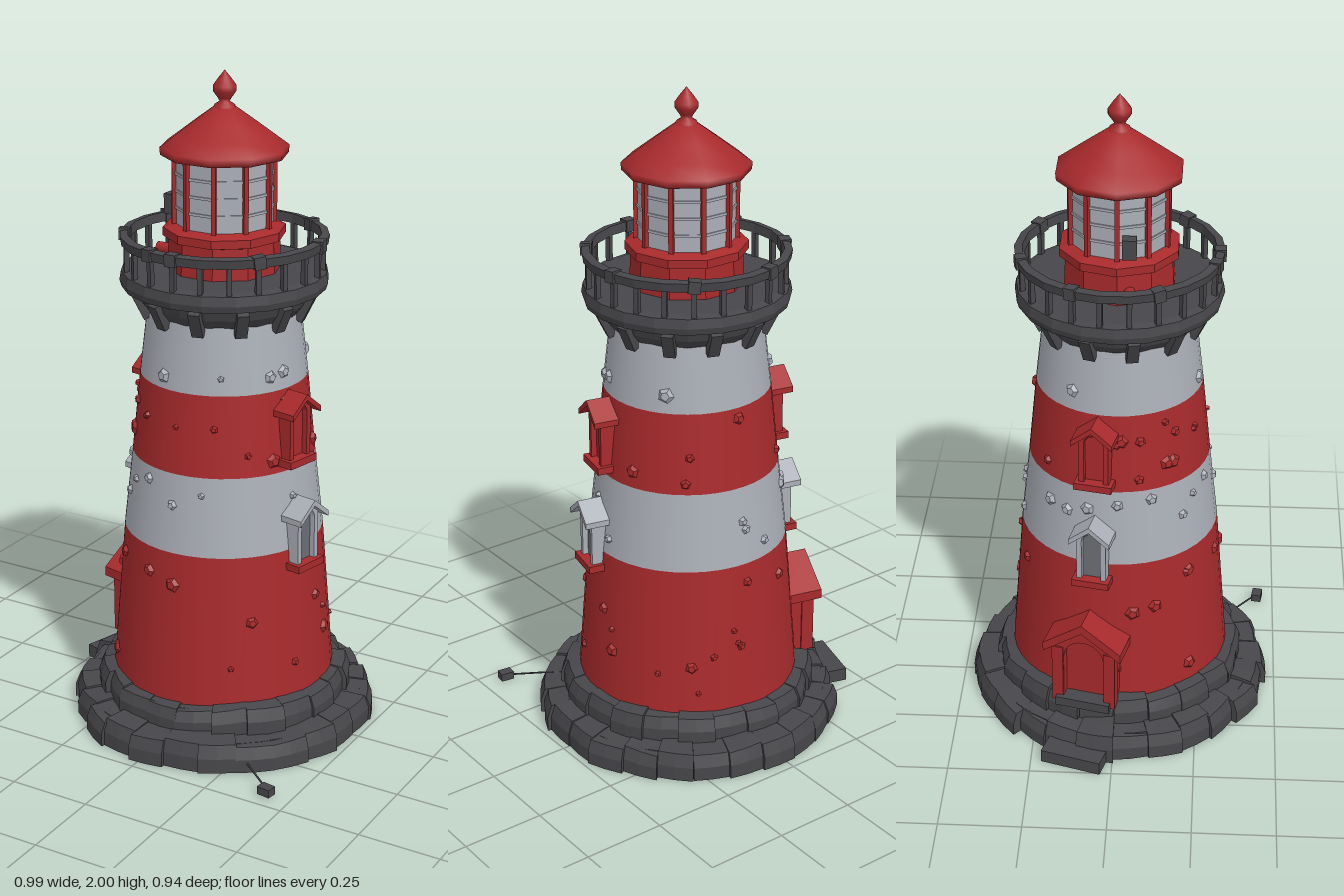
import * as THREE from 'three';

const mat = (name, color, extra = {}) => Object.assign(new THREE.MeshStandardMaterial({ color }), { name }, extra);

export function createModel() {
  const red = mat('red paint', 0xa82a2c);
  const white = mat('pale paint', 0xabafb7);
  const dark = mat('dark stone', 0x47474b);
  const pane = mat('window grey', 0x6c6e73);

  const model = new THREE.Group();
  const tower = new THREE.Group();
  tower.name = 'lighthouse';
  tower.position.x = 0.025;
  model.add(tower);

  let seed = 7;
  const rnd = (a, b) => {
    seed = (seed * 16807) % 2147483647;
    return a + (b - a) * (seed / 2147483647);
  };
  const flat = (geo) => {
    const g = geo.index ? geo.toNonIndexed() : geo;
    g.computeVertexNormals();
    return g;
  };
  const add = (parent, name, geo, material, x = 0, y = 0, z = 0) => {
    const m = new THREE.Mesh(geo, material);
    m.name = name;
    m.position.set(x, y, z);
    parent.add(m);
    return m;
  };
  const box = (parent, name, w, h, d, material, x, y, z) =>
    add(parent, name, new THREE.BoxGeometry(w, h, d), material, x, y, z);
  const lathe = (pts, n) => new THREE.LatheGeometry(pts.map((p) => new THREE.Vector2(...p)), n);
  // group whose local +z points outward at angle a
  const facing = (name, a) => {
    const g = new THREE.Group();
    g.name = name;
    g.rotation.y = a;
    tower.add(g);
    return g;
  };

  // Base: core discs and rings of uneven, bent stones
  add(tower, 'baseCore', new THREE.CylinderGeometry(0.43, 0.44, 0.08, 40), dark, 0, 0.04, 0);
  add(tower, 'plinthCore', new THREE.CylinderGeometry(0.36, 0.37, 0.15, 40), dark, 0, 0.075, 0);
  const stoneRing = (name, n, rIn, rOut, y0, y1) => {
    for (let i = 0; i < n; i++) {
      const g = new THREE.BoxGeometry(1, 1, 1, 2, 2, 2);
      const p = g.attributes.position;
      const span = (Math.PI * 2 / n) * rnd(0.97, 1.06);
      const bulge = rnd(-0.012, 0.01), lift = rnd(-0.008, 0.004);
      const skew = rnd(-0.018, 0.018), tilt = rnd(-0.008, 0.008);
      for (let k = 0; k < p.count; k++) {
        const x = p.getX(k), v = p.getY(k) + 0.5, w = p.getZ(k) + 0.5;
        const round = w > 0.9 && v > 0.9 ? 0.014 : 0;
        const a = x * span + (i * Math.PI * 2) / n;
        const r = rIn + (rOut - rIn + bulge + skew * x) * w - round;
        p.setXYZ(k, Math.sin(a) * r, y0 + (y1 - y0 + lift + tilt * x) * v - round * 0.4, Math.cos(a) * r);
      }
      add(tower, name, flat(g), dark);
    }
  };
  stoneRing('baseStone', 26, 0.33, 0.462, 0, 0.09);
  stoneRing('plinthStone', 22, 0.3, 0.384, 0.08, 0.162);

  // Tapering wall in painted bands
  const levels = [[0.15, 0.34], [0.62, 0.302], [0.86, 0.275], [1.105, 0.25], [1.32, 0.225]];
  const radiusAt = (y) => {
    let i = 0;
    while (i < 3 && y > levels[i + 1][0]) i++;
    const [[ya, ra], [yb, rb]] = [levels[i], levels[i + 1]];
    return ra + ((rb - ra) * (y - ya)) / (yb - ya);
  };
  const bandColour = (y) => (y < 0.62 || (y > 0.86 && y < 1.105) ? red : white);
  for (let i = 0; i < 4; i++) {
    const [[ya, ra], [yb, rb]] = [levels[i], levels[i + 1]];
    add(tower, 'wallBand', new THREE.CylinderGeometry(rb, ra, yb - ya, 40, 1, true), i % 2 ? white : red, 0, (ya + yb) / 2, 0);
  }
  // Rough plaster patches
  for (let i = 0; i < 80; i++) {
    const y = rnd(0.22, 1.2), h = rnd(0.015, 0.04), r = radiusAt(y);
    const near = [0.62, 0.86, 1.105].some((b) => Math.abs(b - y) < 0.03);
    if (near) continue;
    const g = facing('plasterPatch', rnd(0, Math.PI * 2));
    const m = add(g, 'patch', flat(new THREE.CylinderGeometry(h * 0.35, h * 0.75, 0.016, 5)), bandColour(y), 0, y, r + 0.002);
    m.rotation.set(Math.PI / 2 - 0.1, rnd(0, 3), 0);
  }

  // Arched panel and gabled hood helpers
  const archGeo = (w, h, d) => {
    const s = new THREE.Shape();
    s.moveTo(-w / 2, 0);
    s.lineTo(w / 2, 0);
    s.lineTo(w / 2, h - w / 2);
    s.absarc(0, h - w / 2, w / 2, 0, Math.PI, false);
    s.closePath();
    return new THREE.ExtrudeGeometry(s, { depth: d, bevelEnabled: false, curveSegments: 6 });
  };
  const frameGeo = (w, h, t, d) => {
    const s = new THREE.Shape();
    s.moveTo(-w / 2, 0);
    s.lineTo(w / 2, 0);
    s.lineTo(w / 2, h - w * 0.4);
    s.lineTo(0, h);
    s.lineTo(-w / 2, h - w * 0.4);
    s.closePath();
    const iw = w / 2 - t, top = h - w * 0.5 - t * 0.5;
    const hole = new THREE.Path();
    hole.moveTo(-iw, 0.008);
    hole.lineTo(-iw, top);
    hole.absarc(0, top, iw, Math.PI, 0, true);
    hole.lineTo(iw, 0.008);
    hole.closePath();
    s.holes.push(hole);
    return new THREE.ExtrudeGeometry(s, { depth: d, bevelEnabled: false, curveSegments: 6 });
  };
  const hoodGeo = (w, rise, t, d) => {
    const s = new THREE.Shape();
    s.moveTo(-w / 2, 0);
    s.lineTo(0, rise);
    s.lineTo(w / 2, 0);
    s.lineTo(w / 2, t);
    s.lineTo(0, rise + t);
    s.lineTo(-w / 2, t);
    s.closePath();
    return new THREE.ExtrudeGeometry(s, { depth: d, bevelEnabled: false });
  };

  // Windows, one pair on each side
  const sideA = Math.PI / 2 - 0.21, sideB = sideA + Math.PI;
  for (const a of [sideA, sideB]) {
    for (const [y, colour, glass] of [[0.89, red, red], [0.57, white, pane]]) {
      const g = facing('window', a);
      const r = radiusAt(y + 0.08);
      add(g, 'windowFrame', frameGeo(0.09, 0.195, 0.016, 0.075), colour, 0, y, r - 0.04);
      add(g, 'windowPane', archGeo(0.064, 0.155, 0.008), glass, 0, y + 0.005, r + 0.01);
      add(g, 'windowHood', hoodGeo(0.125, 0.05, 0.018, 0.1), colour, 0, y + 0.142, r - 0.04);
      box(g, 'windowSill', 0.115, 0.022, 0.08, red, 0, y, r + 0.01);
    }
  }

  // Door porch and step
  const porch = facing('doorPorch', sideB - 0.03);
  add(porch, 'doorFrame', frameGeo(0.19, 0.27, 0.032, 0.1), red, 0, 0.155, 0.285);
  add(porch, 'door', archGeo(0.135, 0.22, 0.04), red, 0, 0.155, 0.315);
  add(porch, 'porchRoof', hoodGeo(0.245, 0.085, 0.03, 0.13), red, 0, 0.34, 0.275);
  for (const s of [-1, 1]) box(porch, 'porchPost', 0.035, 0.2, 0.04, red, s * 0.082, 0.25, 0.37);
  box(porch, 'doorThreshold', 0.17, 0.03, 0.09, dark, 0, 0.155, 0.36);
  const step = box(porch, 'doorStep', 0.19, 0.042, 0.12, dark, 0, 0.021, 0.46);
  step.rotation.y = -0.05;

  // Gallery deck on a flared corbel with brackets
  add(tower, 'galleryCorbel', flat(lathe([[0.2, 1.295], [0.226, 1.3], [0.25, 1.33], [0.262, 1.362], [0.302, 1.37],
    [0.308, 1.39], [0.303, 1.418], [0.28, 1.424], [0, 1.42]], 20)), dark);
  for (let i = 0; i < 12; i++) {
    const g = facing('galleryBracket', (i * Math.PI) / 6 + 0.2);
    const m = box(g, 'bracket', 0.035, 0.085, 0.05, dark, 0, 1.325, 0.238);
    m.rotation.x = 0.45;
  }
  // Railing
  add(tower, 'handrail', flat(lathe([[0.28, 1.5], [0.303, 1.498], [0.307, 1.524], [0.283, 1.528], [0.28, 1.5]], 22)), dark);
  for (let i = 0; i < 22; i++) {
    const g = facing('railPost', (i * Math.PI * 2) / 22);
    box(g, 'post', 0.015, 0.09, 0.015, dark, 0, 1.46, 0.289);
    if (i % 3 === 0) box(g, 'postCap', 0.035, 0.036, 0.034, dark, 0, 1.513, 0.292).rotation.z = rnd(-0.15, 0.15);
  }

  // Lantern room
  const turn = (m) => { m.rotation.y = Math.PI / 2; return m; };
  turn(add(tower, 'lanternBase', flat(lathe([[0.168, 1.41], [0.163, 1.515], [0.18, 1.52], [0.18, 1.545], [0.15, 1.556], [0, 1.556]], 10)), red));
  turn(add(tower, 'lanternGlass', flat(new THREE.CylinderGeometry(0.143, 0.143, 0.23, 10, 1, true)), white, 0, 1.66, 0));
  for (const y of [1.605, 1.655, 1.705]) {
    turn(add(tower, 'glazingBar', flat(new THREE.CylinderGeometry(0.147, 0.147, 0.008, 10)), white, 0, y, 0));
  }
  for (let i = 0; i < 10; i++) {
    const g = facing('lanternMullion', Math.PI / 2 + (i * Math.PI) / 5);
    box(g, 'mullion', 0.014, 0.23, 0.016, red, 0, 1.66, 0.145);
  }
  box(tower, 'wallBox', 0.035, 0.06, 0.04, dark, -0.155, 1.6, 0.035);
  const knob = add(tower, 'lanternKnob', new THREE.CylinderGeometry(0.017, 0.017, 0.06, 8), red, -0.175, 1.46, 0.035);
  knob.rotation.z = Math.PI / 2;

  // Roof and finial
  turn(add(tower, 'roof', lathe([[0.13, 1.755], [0.186, 1.758], [0.188, 1.78], [0.145, 1.812], [0.09, 1.853], [0.035, 1.893], [0, 1.9]], 10), red));
  add(tower, 'finial', lathe([[0.034, 1.888], [0.03, 1.9], [0.015, 1.91], [0.02, 1.92], [0.034, 1.94], [0.034, 1.955],
    [0.02, 1.975], [0.008, 1.99], [0, 2]], 14), red);

  // Loose stone at the end of a thin line
  const rope = new THREE.LineCurve3(new THREE.Vector3(0.3, 0.03, 0.35), new THREE.Vector3(0.42, 0.02, 0.44));
  add(model, 'mooringLine', new THREE.TubeGeometry(rope, 1, 0.003, 5), dark);
  box(model, 'mooringStone', 0.042, 0.025, 0.032, dark, 0.425, 0.018, 0.447).rotation.y = -0.15;

  return model;
}
